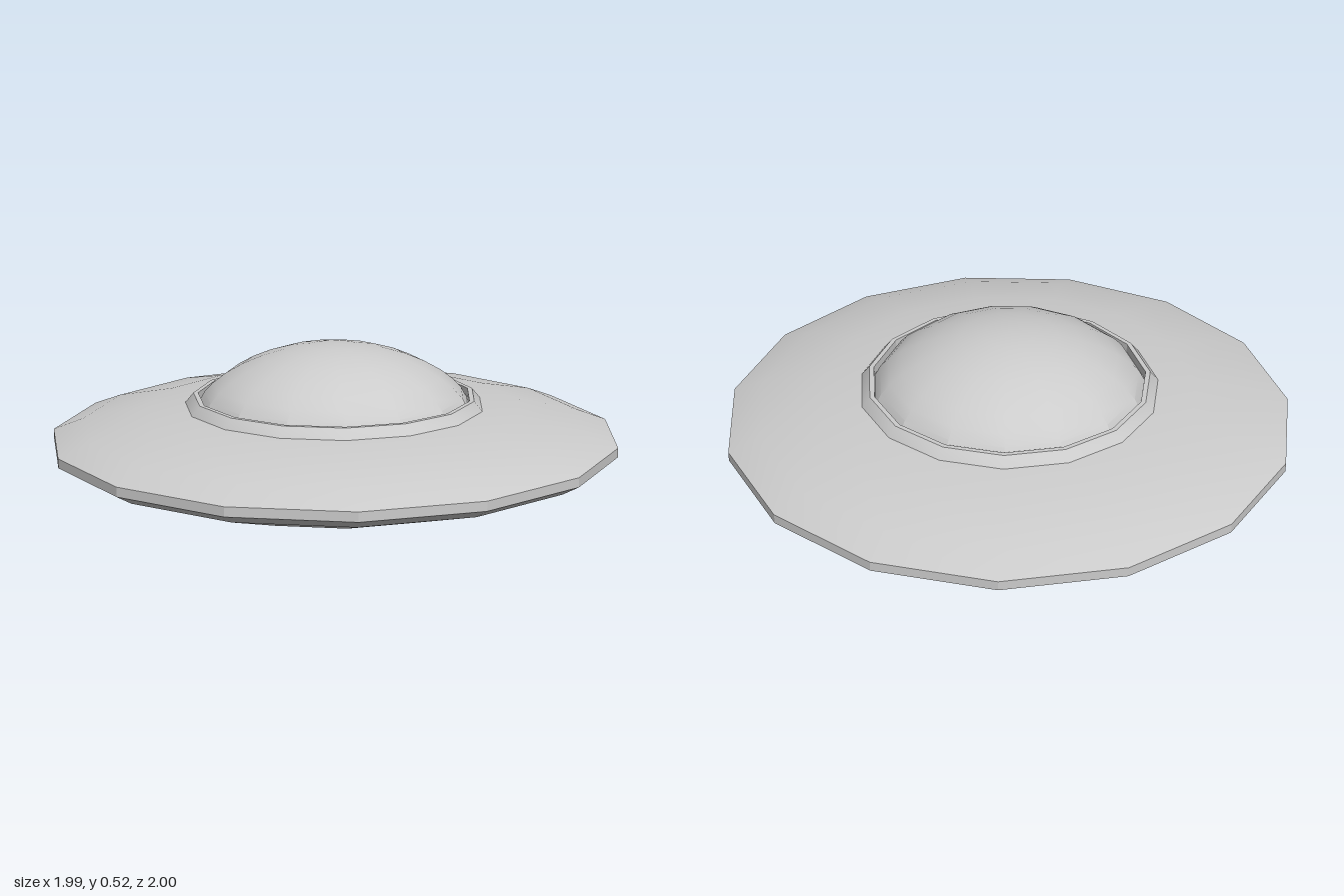
import * as THREE from 'three';
import { toCreasedNormals } from 'three/addons/utils/BufferGeometryUtils.js';

const SIDES = 15;
const CREASE = THREE.MathUtils.degToRad(21);

// Turns a [radius, height] profile (bottom to top along the outside) into a 15-sided part.
function turned(name, profile) {
  const points = profile.map(([r, y]) => new THREE.Vector2(r, y));
  const lathe = new THREE.LatheGeometry(points, SIDES, Math.PI / 2, Math.PI * 2);
  const material = new THREE.MeshStandardMaterial({ color: 0xcccccc, side: THREE.DoubleSide });
  const mesh = new THREE.Mesh(toCreasedNormals(lathe, CREASE), material);
  mesh.name = name;
  return mesh;
}

export function createModel() {
  const saucer = new THREE.Group();
  saucer.name = 'saucer';

  // Central cap under the hull
  saucer.add(turned('bottomCap', [[0, 0], [0.125, 0], [0.148, 0.06]]));

  // Tapered boss with a shallow dish around the cap
  saucer.add(turned('bottomBoss', [
    [0.148, 0.06], [0.2, 0.06], [0.215, 0.018], [0.24, 0.018], [0.3, 0.09],
  ]));

  // Recess ceiling, recess wall and sloping underside
  saucer.add(turned('lowerHull', [
    [0.3, 0.09], [0.456, 0.09], [0.456, 0.022], [0.575, 0.022], [0.945, 0.14], [1.0055, 0.175],
  ]));

  // Vertical outer edge
  saucer.add(turned('rim', [[1.0055, 0.175], [1.0055, 0.208]]));

  // Gently curved upper deck
  saucer.add(turned('upperHull', [[1.0055, 0.208], [0.895, 0.25], [0.67, 0.298], [0.48, 0.313]]));

  // Bevelled collar around the dome
  saucer.add(turned('domeCollar', [[0.531, 0.31], [0.502, 0.345], [0.485, 0.345], [0.485, 0.313]]));

  // Dome
  saucer.add(turned('dome', [
    [0.482, 0.313], [0.462, 0.35], [0.432, 0.382], [0.385, 0.418], [0.325, 0.452],
    [0.255, 0.482], [0.175, 0.506], [0.09, 0.52], [0, 0.525],
  ]));

  // An odd number of sides is wider on one side, so shift to centre
  saucer.position.x = -0.011;
  const model = new THREE.Group();
  model.name = 'flyingSaucer';
  model.add(saucer);
  return model;
}
